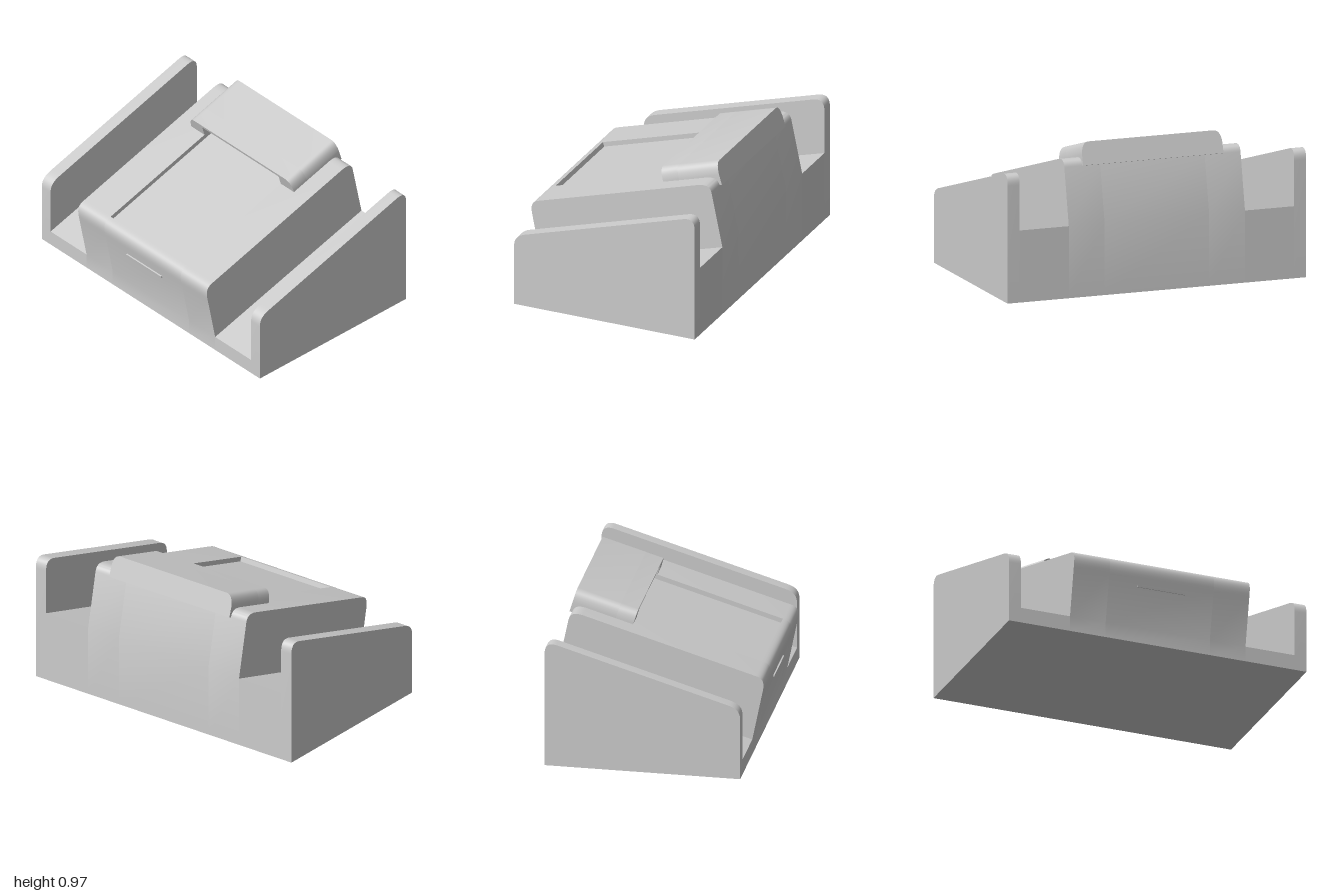
import * as THREE from 'three';
import { toCreasedNormals } from 'three/addons/utils/BufferGeometryUtils.js';

const material = new THREE.MeshStandardMaterial({ color: 0xcccccc });
const TILT = 0.29; // slope of the top faces

function makeMesh(name, geometry) {
  const mesh = new THREE.Mesh(toCreasedNormals(geometry, 0.5), material);
  mesh.name = name;
  return mesh;
}

// Extrudes a side profile drawn in (z, y) across x0..x1
function sideExtrude(name, shape, x0, x1) {
  const geo = new THREE.ExtrudeGeometry(shape, { depth: x1 - x0, bevelEnabled: false, curveSegments: 10 });
  geo.rotateY(-Math.PI / 2);
  geo.translate(x1, 0, 0);
  return makeMesh(name, geo);
}

function wallProfile() {
  const s = new THREE.Shape();
  s.moveTo(-0.655, 0);
  s.lineTo(0.583, 0);
  s.lineTo(0.583, 0.4);
  s.bezierCurveTo(0.583, 0.455, 0.555, 0.477, 0.5, 0.493);
  s.lineTo(-0.58, 0.814);
  s.bezierCurveTo(-0.63, 0.827, -0.655, 0.805, -0.655, 0.75);
  s.closePath();
  return s;
}

function floorProfile() {
  return new THREE.Shape([[-0.655, 0], [0.583, 0], [0.583, 0.1], [-0.655, 0.46]]
    .map(([z, y]) => new THREE.Vector2(z, y)));
}

// Sloped centre block, optionally with the shallow recess cut in its top
function blockProfile(recessed) {
  const s = new THREE.Shape();
  s.moveTo(-0.655, 0);
  s.lineTo(0.583, 0);
  s.lineTo(0.583, 0.1);
  s.lineTo(0.645, 0.41);
  s.bezierCurveTo(0.667, 0.5, 0.645, 0.517, 0.6, 0.53);
  if (recessed) {
    s.lineTo(0.591, 0.501);
    s.lineTo(-0.309, 0.769);
    s.lineTo(-0.3, 0.798);
  }
  s.lineTo(-0.49, 0.855);
  s.bezierCurveTo(-0.54, 0.868, -0.57, 0.86, -0.58, 0.82);
  s.lineTo(-0.655, 0.46);
  s.closePath();
  return s;
}

// Lid cross-section in (x, height above the slope)
function lidProfile(open) {
  const s = new THREE.Shape();
  const top = 0.087, bottom = -0.06;
  s.moveTo(0.47, bottom);
  s.lineTo(0.47, 0.01);
  s.bezierCurveTo(0.465, 0.06, 0.45, top, 0.415, top);
  s.lineTo(-0.415, top);
  s.bezierCurveTo(-0.45, top, -0.465, 0.06, -0.47, 0.01);
  s.lineTo(-0.47, bottom);
  if (open) {
    s.lineTo(-0.35, bottom);
    s.lineTo(-0.35, 0.068);
    s.lineTo(0.35, 0.068);
    s.lineTo(0.35, bottom);
  }
  s.closePath();
  return s;
}

// Extrudes a lid section backwards between two distances from its front edge
function lidPart(name, open, from, to) {
  const geo = new THREE.ExtrudeGeometry(lidProfile(open), { depth: to - from, bevelEnabled: false, curveSegments: 8 });
  geo.translate(0, 0, -to);
  return makeMesh(name, geo);
}

export function createModel() {
  const model = new THREE.Group();
  model.name = 'slopedStand';

  // Side walls, sloping channels and shoulders of the centre block
  for (const side of [-1, 1]) {
    const label = side > 0 ? 'left' : 'right';
    const add = (name, shape, a, b) =>
      model.add(sideExtrude(label + name, shape, Math.min(side * a, side * b), Math.max(side * a, side * b)));
    add('Wall', wallProfile(), 0.92, 1);
    add('ChannelFloor', floorProfile(), 0.59, 0.92);
    add('BlockShoulder', blockProfile(false), 0.35, 0.59);
  }
  model.add(sideExtrude('recessedBlockCentre', blockProfile(true), -0.35, 0.35));

  // Lid over the upper end of the recess, open towards the front
  const lid = new THREE.Group();
  lid.name = 'lid';
  lid.add(lidPart('lidFrontArch', true, 0, 0.115));
  lid.add(lidPart('lidRear', false, 0.115, 0.402));
  lid.position.set(0, 0.767, -0.194);
  lid.rotation.x = TILT;
  model.add(lid);

  // Thin finger lip on the front face
  const lip = makeMesh('frontLip', new THREE.BoxGeometry(0.32, 0.012, 0.02));
  lip.position.set(0, 0.36, 0.634);
  lip.rotation.x = 0.2;
  model.add(lip);

  return model;
}
